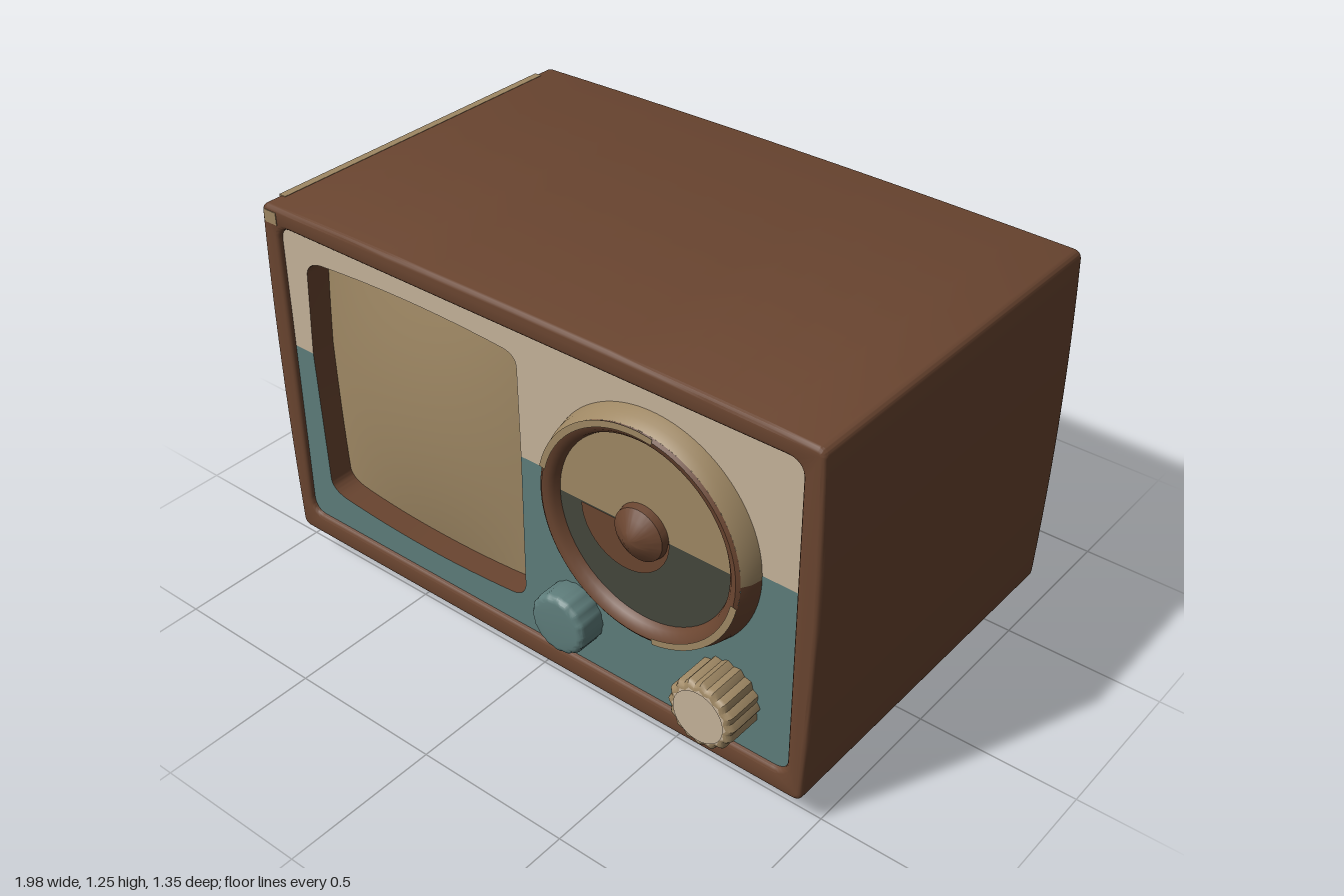
import * as THREE from 'three';
import { toCreasedNormals } from 'three/addons/utils/BufferGeometryUtils.js';

const mat = (name, color) => {
  const m = new THREE.MeshStandardMaterial({ color, side: THREE.DoubleSide });
  m.name = name;
  return m;
};

export function createModel() {
  const group = new THREE.Group();
  const brown = mat('brown wood', 0x6a4530);
  const cream = mat('cream paint', 0xc6b39a);
  const teal = mat('teal paint', 0x5e7d7b);
  const tan = mat('tan cloth', 0x9f8864);
  const dark = mat('dark olive', 0x44463c);

  const add = (name, geometry, material, x = 0, y = 0, z = 0) => {
    const mesh = new THREE.Mesh(geometry, material);
    mesh.name = name;
    mesh.position.set(x, y, z);
    group.add(mesh);
    return mesh;
  };
  const extrude = (shape, depth, bevel = 0) => toCreasedNormals(new THREE.ExtrudeGeometry(shape, {
    depth: depth - 2 * bevel, curveSegments: 12, bevelEnabled: bevel > 0,
    bevelSize: bevel, bevelThickness: bevel, bevelOffset: -bevel, bevelSegments: 3,
  }).translate(0, 0, bevel), 0.6);
  const roundRect = (path, x0, y0, x1, y1, r) => {
    path.moveTo(x0 + r, y0).lineTo(x1 - r, y0).quadraticCurveTo(x1, y0, x1, y0 + r)
      .lineTo(x1, y1 - r).quadraticCurveTo(x1, y1, x1 - r, y1)
      .lineTo(x0 + r, y1).quadraticCurveTo(x0, y1, x0, y1 - r)
      .lineTo(x0, y0 + r).quadraticCurveTo(x0, y0, x0 + r, y0);
    return path;
  };

  // Cabinet: slightly barrelled sleeve, open at the front and back
  const outer = new THREE.Shape();
  outer.moveTo(-0.94, 0.09).lineTo(0.94, 0.09).quadraticCurveTo(0.97, 0.09, 0.973, 0.12)
    .quadraticCurveTo(1.003, 0.72, 0.982, 1.215).quadraticCurveTo(0.98, 1.24, 0.955, 1.241)
    .quadraticCurveTo(0, 1.262, -0.955, 1.241).quadraticCurveTo(-0.98, 1.24, -0.982, 1.215)
    .quadraticCurveTo(-1.003, 0.72, -0.973, 0.12).quadraticCurveTo(-0.97, 0.09, -0.94, 0.09);
  outer.holes.push(roundRect(new THREE.Path(), -0.92, 0.165, 0.92, 1.18, 0.05));
  add('cabinet', extrude(outer, 1.235, 0.014), brown, 0, 0, -0.67);

  // Front panel in two colours, wrapped around the screen opening
  const split = 0.775;
  const upper = new THREE.Shape();
  upper.moveTo(-0.93, split).lineTo(-0.845, split).lineTo(-0.83, 1.05)
    .quadraticCurveTo(-0.825, 1.09, -0.77, 1.1).quadraticCurveTo(-0.42, 1.13, -0.06, 1.105)
    .quadraticCurveTo(-0.012, 1.1, -0.012, 1.06).lineTo(-0.01, split)
    .lineTo(0.93, split).lineTo(0.93, 1.19).lineTo(-0.93, 1.19);
  const lower = new THREE.Shape();
  lower.moveTo(-0.93, split).lineTo(-0.845, split).lineTo(-0.83, 0.32)
    .quadraticCurveTo(-0.825, 0.285, -0.77, 0.275).quadraticCurveTo(-0.42, 0.235, -0.06, 0.27)
    .quadraticCurveTo(-0.02, 0.28, -0.015, 0.32).lineTo(-0.01, split)
    .lineTo(0.93, split).lineTo(0.93, 0.155).lineTo(-0.93, 0.155);
  add('upperFrontPanel', extrude(upper, 0.12), [cream, brown], 0, 0, 0.43);
  add('lowerFrontPanel', extrude(lower, 0.12), [teal, brown], 0, 0, 0.43);

  // Screen: gently domed sheet behind the opening
  const screen = new THREE.PlaneGeometry(0.9, 0.92, 16, 16);
  const sp = screen.attributes.position;
  for (let i = 0; i < sp.count; i++) {
    const u = sp.getX(i) / 0.45, v = sp.getY(i) / 0.46;
    sp.setZ(i, 0.045 * (1 - u * u) * (1 - v * v));
  }
  screen.computeVertexNormals();
  add('screen', screen, tan, -0.425, 0.68, 0.465);

  // Dial: rim, two-tone face and pointed centre
  const dx = 0.45, dy = 0.762;
  const turned = (pts, start = 0, length = Math.PI * 2) => toCreasedNormals(new THREE.LatheGeometry(
    pts.map(p => new THREE.Vector2(...p)), 64, start, length).rotateX(Math.PI / 2), 0.7);
  const slope = [[0.36, 0.54], [0.35, 0.585], [0.335, 0.61]];
  add('dialRimUpper', turned(slope, Math.PI / 2, Math.PI), tan, dx, dy);
  add('dialRimLower', turned(slope, -Math.PI / 2, Math.PI), brown, dx, dy);
  add('dialLip', turned([[0.335, 0.61], [0.325, 0.617], [0.308, 0.613], [0.295, 0.6], [0.285, 0.575]]), brown, dx, dy);
  for (const [a, len] of [[-0.2, -1.2], [1.4, 1.5]]) {
    const start = Math.min(a, a + len);
    add('dialLipWear', new THREE.RingGeometry(0.318, 0.338, 32, 1, start, Math.abs(len)), tan, dx, dy, 0.619);
  }
  add('dialFaceUpper', new THREE.CircleGeometry(0.29, 32, 0, Math.PI), tan, dx, dy, 0.583);
  add('dialFaceLower', new THREE.CircleGeometry(0.29, 32, Math.PI, Math.PI), dark, dx, dy, 0.583);
  add('dialPatch', new THREE.CircleGeometry(0.15, 20, Math.PI, Math.PI), brown, dx - 0.06, dy, 0.587);
  add('dialCentre', turned([[0.085, 0.58], [0.08, 0.605], [0.055, 0.622], [0.025, 0.64], [0, 0.646]]), brown, dx, dy);

  // Control knobs with fluted edges
  const knob = (name, x, y, r, depth, flute, materials) => {
    const shape = new THREE.Shape();
    for (let i = 0; i < 64; i++) {
      const a = i / 64 * Math.PI * 2;
      const rr = r * (1 + flute * Math.cos(a * 16));
      shape[i ? 'lineTo' : 'moveTo'](rr * Math.cos(a), rr * Math.sin(a));
    }
    add(name, extrude(shape, depth, 0.018), materials, x, y, 0.53);
  };
  knob('tuningKnob', 0.18, 0.33, 0.095, 0.11, 0.02, teal);
  knob('volumeKnob', 0.71, 0.33, 0.105, 0.145, 0.045, [cream, tan]);
  add('volumeKnobCap', new THREE.CircleGeometry(0.083, 32), cream, 0.71, 0.33, 0.678);

  // Back panel with an uneven opening over a cloth sheet
  const back = roundRect(new THREE.Shape(), -0.93, 0.155, 0.93, 1.19, 0.02);
  const opening = new THREE.Path();
  opening.moveTo(0.67, 0.32).lineTo(0.66, 1.05).lineTo(0.6, 1.08).lineTo(-0.88, 1.09)
    .lineTo(-0.91, 1.05).lineTo(-0.91, 0.4).lineTo(-0.7, 0.34).lineTo(-0.3, 0.4)
    .lineTo(0.03, 0.45).lineTo(0.14, 0.39).lineTo(0.22, 0.36).lineTo(0.42, 0.35).lineTo(0.5, 0.3).lineTo(0.64, 0.29);
  back.holes.push(opening);
  add('backPanel', extrude(back, 0.06), dark, 0, 0, -0.652);
  add('backCloth', new THREE.BoxGeometry(1.7, 0.9, 0.01), tan, -0.11, 0.7, -0.612);
  const band = new THREE.Shape();
  band.moveTo(0.61, 1.18).lineTo(-0.92, 1.18).lineTo(-0.92, 1.11).lineTo(0.55, 1.11);
  add('backBand', extrude(band, 0.006), tan, 0, 0, -0.657);
  add('backStrip', new THREE.BoxGeometry(1.42, 0.022, 0.008), brown, -0.2, 1.098, -0.654);
  add('backPatch', new THREE.CircleGeometry(0.1, 9), brown, -0.82, 0.42, -0.62);

  // Underside: dark base sheet and a low raised plate
  add('baseSheet', new THREE.BoxGeometry(1.88, 0.008, 1.18), dark, 0, 0.088, -0.052);
  const plate = roundRect(new THREE.Shape(), -0.64, -0.3, 0.64, 0.4, 0.06);
  const plateMesh = add('basePlate', extrude(plate, 0.03, 0.01), dark, 0, 0.06, 0.2);
  plateMesh.geometry.rotateX(-Math.PI / 2);
  plateMesh.position.z = 0;

  // Tapered feet
  for (const sx of [-1, 1]) {
    for (const [name, z, sz] of [['frontFoot', 0.42, 0.8], ['backFoot', -0.52, 0.9]]) {
      const foot = new THREE.CylinderGeometry(0.112, 0.082, 0.075, 8).rotateY(Math.PI / 8);
      const pad = new THREE.CylinderGeometry(0.082, 0.05, 0.02, 8).rotateY(Math.PI / 8);
      add(name, toCreasedNormals(foot, 0.9), dark, sx * 0.79, 0.0575, z).scale.z = sz;
      add(name + 'Pad', pad, dark, sx * 0.79, 0.01, z).scale.z = sz;
    }
  }

  // Paint wear: flecks on the right side and along the top edge
  for (const [y, z, s] of [[1.0, 0.2, 0.05], [0.95, 0.12, 0.04], [0.9, 0.24, 0.04],
    [0.84, 0.15, 0.05], [0.78, 0.2, 0.05], [0.5, -0.25, 0.025]]) {
    add('sideFleck', new THREE.BoxGeometry(0.006, s * 0.7, s), tan, -0.9895, y, z);
  }
  add('edgeWear', new THREE.BoxGeometry(0.025, 0.006, 1.1), tan, -0.962, 1.2395, -0.05);
  add('cornerWear', new THREE.BoxGeometry(0.05, 0.04, 0.006), tan, -0.945, 1.205, 0.564);

  return group;
}
